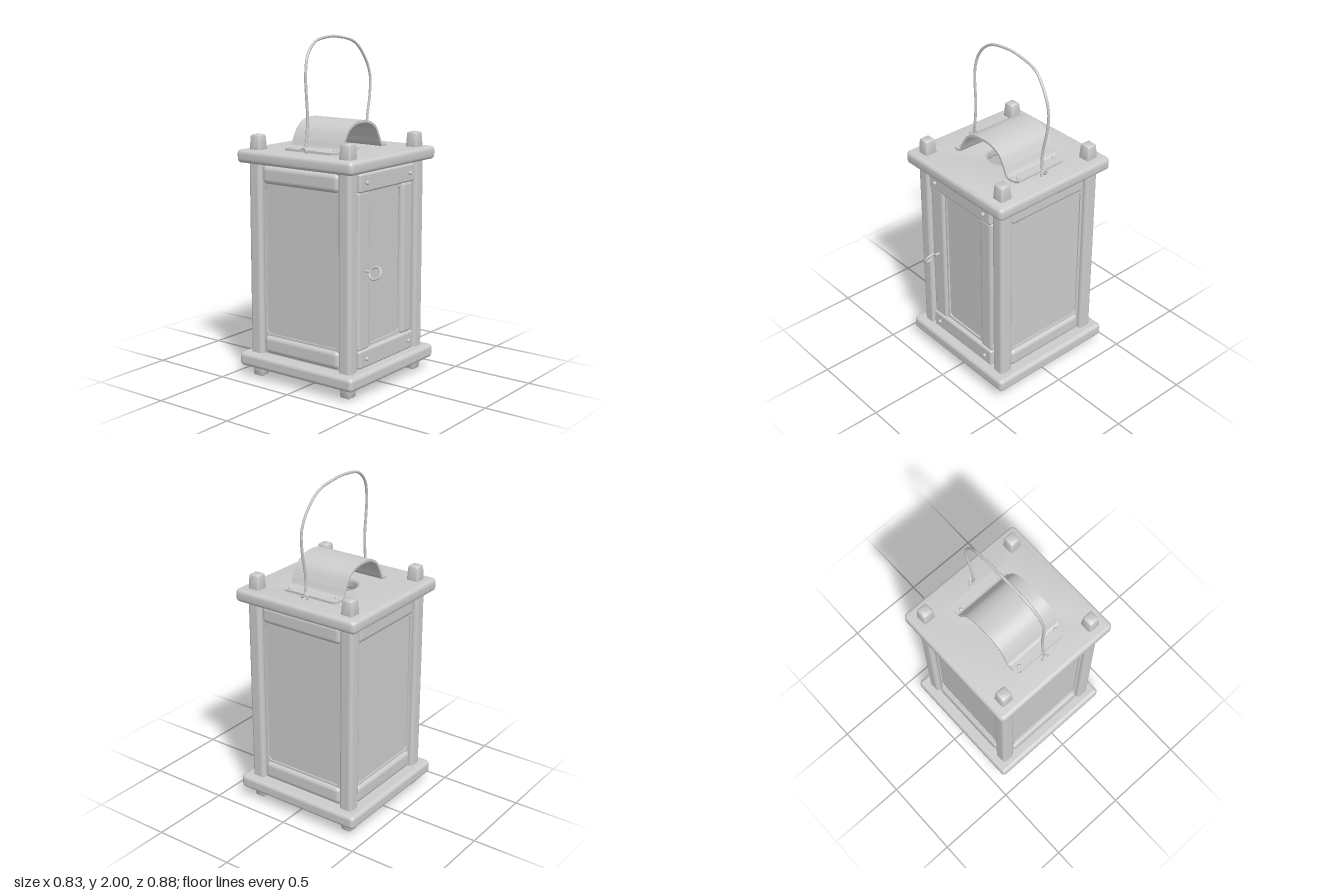
import * as THREE from 'three';
import { toCreasedNormals } from 'three/addons/utils/BufferGeometryUtils.js';
import { RoundedBoxGeometry } from 'three/addons/geometries/RoundedBoxGeometry.js';

const grey = new THREE.MeshStandardMaterial({ color: 0xcccccc });
grey.name = 'plain grey';
const greySheet = grey;

function add(parent, name, geometry, x = 0, y = 0, z = 0) {
  const mesh = new THREE.Mesh(geometry, greySheet);
  mesh.name = name;
  mesh.position.set(x, y, z);
  parent.add(mesh);
  return mesh;
}

const block = (w, h, d, r = 0.02) => new RoundedBoxGeometry(w, h, d, 3, r);

// Rounded rectangle centred on (0, cy), as a shape or a hole
function roundedRect(w, h, r, cy = 0, Type = THREE.Shape) {
  const s = new Type(), x = w / 2, y = h / 2;
  s.absarc(x - r, cy + y - r, r, 0, Math.PI / 2);
  s.absarc(-x + r, cy + y - r, r, Math.PI / 2, Math.PI);
  s.absarc(-x + r, cy - y + r, r, Math.PI, Math.PI * 1.5);
  s.absarc(x - r, cy - y + r, r, Math.PI * 1.5, Math.PI * 2);
  s.closePath();
  return s;
}

function extrude(shape, depth, bevel = 0) {
  const geometry = new THREE.ExtrudeGeometry(shape, {
    depth: depth - 2 * bevel, bevelEnabled: bevel > 0, bevelSize: bevel, bevelThickness: bevel,
    bevelOffset: -bevel, bevelSegments: 4, curveSegments: 10,
  });
  return toCreasedNormals(geometry.translate(0, 0, bevel), 0.6);
}

// Block whose upper end is narrowed
function pegGeometry(w, h, taper) {
  const g = block(w, h, w, 0.012);
  const p = g.attributes.position;
  for (let i = 0; i < p.count; i++) {
    const k = 1 - taper * (p.getY(i) / h + 0.5);
    p.setXYZ(i, p.getX(i) * k, p.getY(i), p.getZ(i) * k);
  }
  g.computeVertexNormals();
  return toCreasedNormals(g, 0.7);
}

function tube(points, radius, segments) {
  const curve = new THREE.CatmullRomCurve3(points.map((p) => new THREE.Vector3(...p)));
  return new THREE.TubeGeometry(curve, segments, radius, 8);
}

function rivet(parent, x, y, z, up = false) {
  const m = add(parent, 'rivet', new THREE.SphereGeometry(0.012, 12, 8), x, y, z);
  m.scale.set(1, up ? 0.9 : 1, up ? 1 : 0.9);
  return m;
}

// Fixed window wall facing local +z
function windowWall(angle) {
  const wall = new THREE.Group();
  wall.name = 'windowWall';
  wall.rotation.y = angle;
  const frame = roundedRect(0.58, 1.15, 0.005, 0.71);
  frame.holes.push(roundedRect(0.525, 0.88, 0.025, 0.71, THREE.Path));
  add(wall, 'windowFrame', extrude(frame, 0.04), 0, 0, 0.295);
  add(wall, 'pane', new THREE.BoxGeometry(0.54, 0.9, 0.01), 0, 0.71, 0.322);
  add(wall, 'upperRail', block(0.55, 0.11, 0.07, 0.03), 0, 1.215, 0.318);
  add(wall, 'lowerRail', block(0.55, 0.11, 0.07, 0.03), 0, 0.205, 0.318);
  return wall;
}

// Front door with stiles, rails, rivets and ring pull
function frontDoor() {
  const door = new THREE.Group();
  door.name = 'frontDoor';
  const frame = roundedRect(0.36, 0.96, 0.005, 0.71);
  frame.holes.push(roundedRect(0.295, 0.87, 0.02, 0.71, THREE.Path));
  add(door, 'paneFrame', extrude(frame, 0.03), 0.003, 0, 0.31);
  add(door, 'pane', new THREE.BoxGeometry(0.31, 0.89, 0.01), 0.003, 0.71, 0.325);
  add(door, 'leftStile', block(0.107, 0.92, 0.055, 0.025), 0.213, 0.71, 0.328);
  add(door, 'rightStile', block(0.115, 0.92, 0.055, 0.02), -0.213, 0.71, 0.328);
  for (const y of [0.205, 1.215]) {
    add(door, 'doorRail', block(0.535, 0.11, 0.06, 0.015), 0, y, 0.335);
    for (const x of [-0.208, 0.213]) rivet(door, x, y, 0.369);
  }
  const stem = add(door, 'ringStem', new THREE.CylinderGeometry(0.007, 0.007, 0.05, 8), -0.21, 0.715, 0.37);
  stem.rotation.x = Math.PI / 2;
  const ring = add(door, 'pullRing', new THREE.TorusGeometry(0.037, 0.007, 8, 28), -0.21, 0.712, 0.425);
  ring.rotation.set(0, Math.PI / 2, 0);
  ring.rotateX(0.5);
  return door;
}

// Bent sheet over the vent, with flat riveted feet
function heatShield() {
  const shield = new THREE.Group();
  shield.name = 'heatShield';
  const mid = new THREE.CatmullRomCurve3([
    [-0.275, 1.362], [-0.235, 1.362], [-0.2, 1.366], [-0.172, 1.42], [-0.13, 1.48], [-0.07, 1.512],
    [0, 1.519], [0.07, 1.51], [0.13, 1.478], [0.168, 1.42], [0.197, 1.366], [0.235, 1.362], [0.272, 1.362],
  ].map(([x, y]) => new THREE.Vector3(x, y, 0)));
  const pts = mid.getPoints(72), upper = [], lower = [];
  pts.forEach((p, i) => {
    const t = mid.getTangent(i / 72);
    upper.push(new THREE.Vector2(p.x - t.y * 0.007, p.y + t.x * 0.007));
    lower.push(new THREE.Vector2(p.x + t.y * 0.007, p.y - t.x * 0.007));
  });
  const sheet = extrude(new THREE.Shape([...lower, ...upper.reverse()]), 0.366);
  // Skew the sheet a little and round off the corners of its feet
  const p = sheet.attributes.position;
  for (let i = 0; i < p.count; i++) {
    const x = p.getX(i), c = Math.max(0, Math.abs(x) - 0.245) / 0.03;
    const half = 0.183 - 0.025 * c * c;
    p.setZ(i, (p.getZ(i) / 0.183 - 1) * half - 0.02 * x);
  }
  add(shield, 'archSheet', sheet, 0, 0, 0);
  for (const [x, z] of [[-0.245, -0.14], [0.215, -0.155], [-0.222, 0.155], [0.25, 0.14]]) rivet(shield, x, 1.371, z, true);
  return shield;
}

export function createModel() {
  const model = new THREE.Group();
  model.name = 'lantern';
  const body = new THREE.Group();
  body.name = 'lanternBody';
  body.position.z = -0.025;
  model.add(body);

  // Base and lid, the lid with a round vent
  add(body, 'base', block(0.83, 0.083, 0.83, 0.025), 0, 0.105, 0);
  const lidShape = roundedRect(0.83, 0.83, 0.03);
  const vent = new THREE.Path();
  vent.absarc(0, 0, 0.115, 0, Math.PI * 2, true);
  lidShape.holes.push(vent);
  const lid = add(body, 'lid', extrude(lidShape, 0.075, 0.022), 0, 1.28, 0);
  lid.rotation.x = -Math.PI / 2;

  // Corner posts with their pegs above and below
  for (const x of [-0.322, 0.322]) {
    for (const z of [-0.322, 0.322]) {
      add(body, 'cornerPost', block(0.085, 1.17, 0.085, 0.022), x, 0.713, z);
      add(body, 'topPeg', pegGeometry(0.08, 0.115, 0.18), x, 1.383, z);
      const foot = add(body, 'foot', pegGeometry(0.075, 0.09, 0.1), x, 0.045, z);
      foot.rotation.x = Math.PI;
    }
  }

  for (const angle of [Math.PI / 2, Math.PI, -Math.PI / 2]) body.add(windowWall(angle));
  body.add(frontDoor(), heatShield());

  // Wire bail and the staples that hold it
  add(body, 'wireBail', tube([
    [-0.27, 1.375, 0.005], [-0.292, 1.365, 0.003], [-0.283, 1.43, 0.003], [-0.273, 1.55, 0.002], [-0.28, 1.8, -0.004],
    [-0.245, 1.905, -0.014], [-0.17, 1.97, -0.022], [-0.05, 1.992, -0.027], [0.05, 1.989, -0.027],
    [0.2, 1.952, -0.021], [0.28, 1.865, -0.01], [0.325, 1.76, -0.003], [0.322, 1.65, 0],
    [0.292, 1.5, 0.002], [0.288, 1.42, 0.003], [0.302, 1.37, 0.003], [0.325, 1.38, 0.004],
  ], 0.008, 110), 0, 0, 0);
  for (const x of [-0.303, 0.301]) {
    const staple = add(body, 'staple', new THREE.TorusGeometry(0.02, 0.006, 8, 20), x, 1.366, 0);
    staple.rotation.y = Math.PI / 2;
  }
  return model;
}
